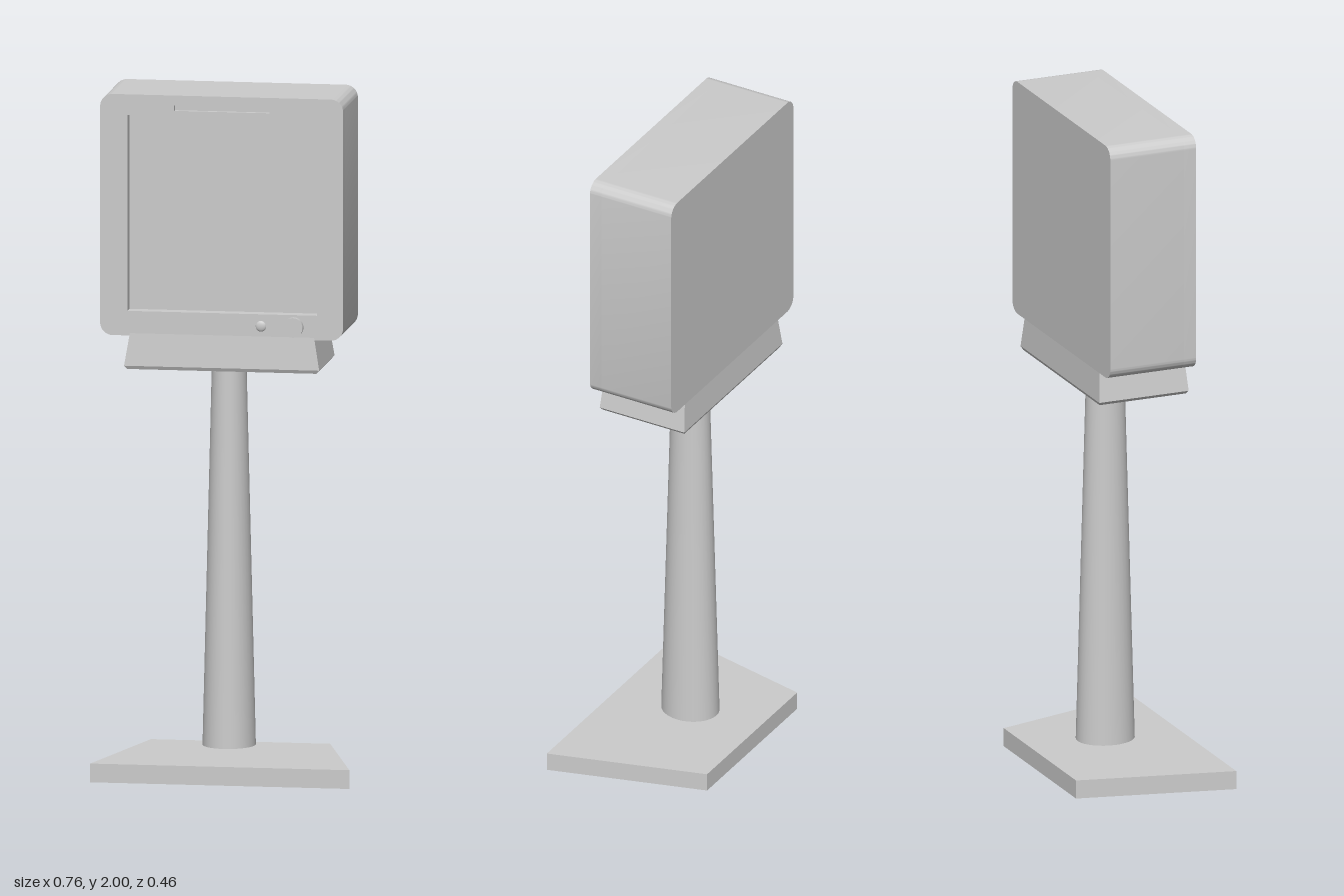
import * as THREE from 'three';
import { toCreasedNormals } from 'three/addons/utils/BufferGeometryUtils.js';

const material = new THREE.MeshStandardMaterial({ color: 0xcccccc });
const thin = new THREE.MeshStandardMaterial({ color: 0xcccccc, side: THREE.DoubleSide });
const CX = -0.013, CZ = -0.026; // axis shared by head, plinth and post

function roundedRect(Type, x0, x1, y0, y1, r) {
  const p = new Type();
  p.moveTo(x0 + r, y0);
  p.lineTo(x1 - r, y0);
  p.absarc(x1 - r, y0 + r, r, -Math.PI / 2, 0);
  p.lineTo(x1, y1 - r);
  p.absarc(x1 - r, y1 - r, r, 0, Math.PI / 2);
  p.lineTo(x0 + r, y1);
  p.absarc(x0 + r, y1 - r, r, Math.PI / 2, Math.PI);
  p.lineTo(x0, y0 + r);
  p.absarc(x0 + r, y0 + r, r, Math.PI, Math.PI * 1.5);
  return p;
}

function rectHole(x0, x1, y0, y1) {
  const p = new THREE.Path();
  p.moveTo(x0, y0);
  p.lineTo(x0, y1);
  p.lineTo(x1, y1);
  p.lineTo(x1, y0);
  p.closePath();
  return p;
}

// Plate between two z values, smooth round its corners
function plate(shape, z0, z1) {
  const g = new THREE.ExtrudeGeometry(shape, { depth: z1 - z0, bevelEnabled: false, curveSegments: 8 });
  return toCreasedNormals(g.translate(0, 0, z0), 0.6);
}

export function createModel() {
  const model = new THREE.Group();
  const add = (name, geometry, parent = model, mat = material) => {
    const mesh = new THREE.Mesh(geometry, mat);
    mesh.name = name;
    parent.add(mesh);
    return mesh;
  };

  // Base: tapered tray, open underneath
  const outline = [[-0.38, 0.23], [0.38, 0.23], [0.25, -0.23], [-0.275, -0.23]];
  const pos = [], index = [];
  for (const y of [0, 0.055]) for (const [x, z] of outline) pos.push(x, y, z);
  for (let i = 0; i < 4; i++) {
    const j = (i + 1) % 4;
    index.push(i, j, j + 4, i, j + 4, i + 4);
  }
  index.push(4, 5, 6, 4, 6, 7);
  const tray = new THREE.BufferGeometry();
  tray.setAttribute('position', new THREE.Float32BufferAttribute(pos, 3));
  tray.setIndex(index);
  const flatTray = tray.toNonIndexed();
  flatTray.computeVertexNormals();
  add('base', flatTray, model, thin);

  // Post: tapered oval column
  const post = add('post', new THREE.CylinderGeometry(0.05, 0.077, 1.12, 32));
  post.scale.z = 1.13;
  post.position.set(CX, 0.64, CZ + 0.002);

  // Plinth: block flaring downwards with a small chamfer at the foot
  const levels = [[1.195, 0.277, 0.136], [1.205, 0.286, 0.141], [1.3, 0.27, 0.134]];
  const plinth = new THREE.BoxGeometry(1, 2, 1, 1, 2, 1);
  const v = plinth.attributes.position;
  for (let i = 0; i < v.count; i++) {
    const [y, hx, hz] = levels[Math.round(v.getY(i)) + 1];
    v.setXYZ(i, CX + Math.sign(v.getX(i)) * hx, y, CZ + Math.sign(v.getZ(i)) * hz);
  }
  add('plinth', toCreasedNormals(plinth, 0.3));

  // Head: solid casing and a front frame with openings
  const head = new THREE.Group();
  head.name = 'head';
  model.add(head);
  const casing = () => roundedRect(THREE.Shape, -0.37, 0.342, 1.293, 2, 0.036);
  add('casing', plate(casing(), -0.163, 0.07), head);
  const front = casing();
  front.holes.push(rectHole(-0.29, 0.265, 1.365, 1.94), rectHole(-0.153, 0.127, 1.955, 1.971));
  add('frontFrame', plate(front, 0.07, 0.108), head);
  const slot = add('slotFloor', new THREE.BoxGeometry(0.28, 0.016, 0.025), head);
  slot.position.set(-0.013, 1.963, 0.0825);

  // Controls: large knob and small domed button
  const knob = add('knob', new THREE.CylinderGeometry(0.029, 0.029, 0.03, 24), head);
  knob.rotation.x = Math.PI / 2;
  knob.position.set(0.197, 1.33, 0.109);
  const button = add('button', new THREE.SphereGeometry(0.016, 16, 10), head);
  button.scale.z = 0.4;
  button.position.set(0.101, 1.33, 0.107);

  return model;
}
